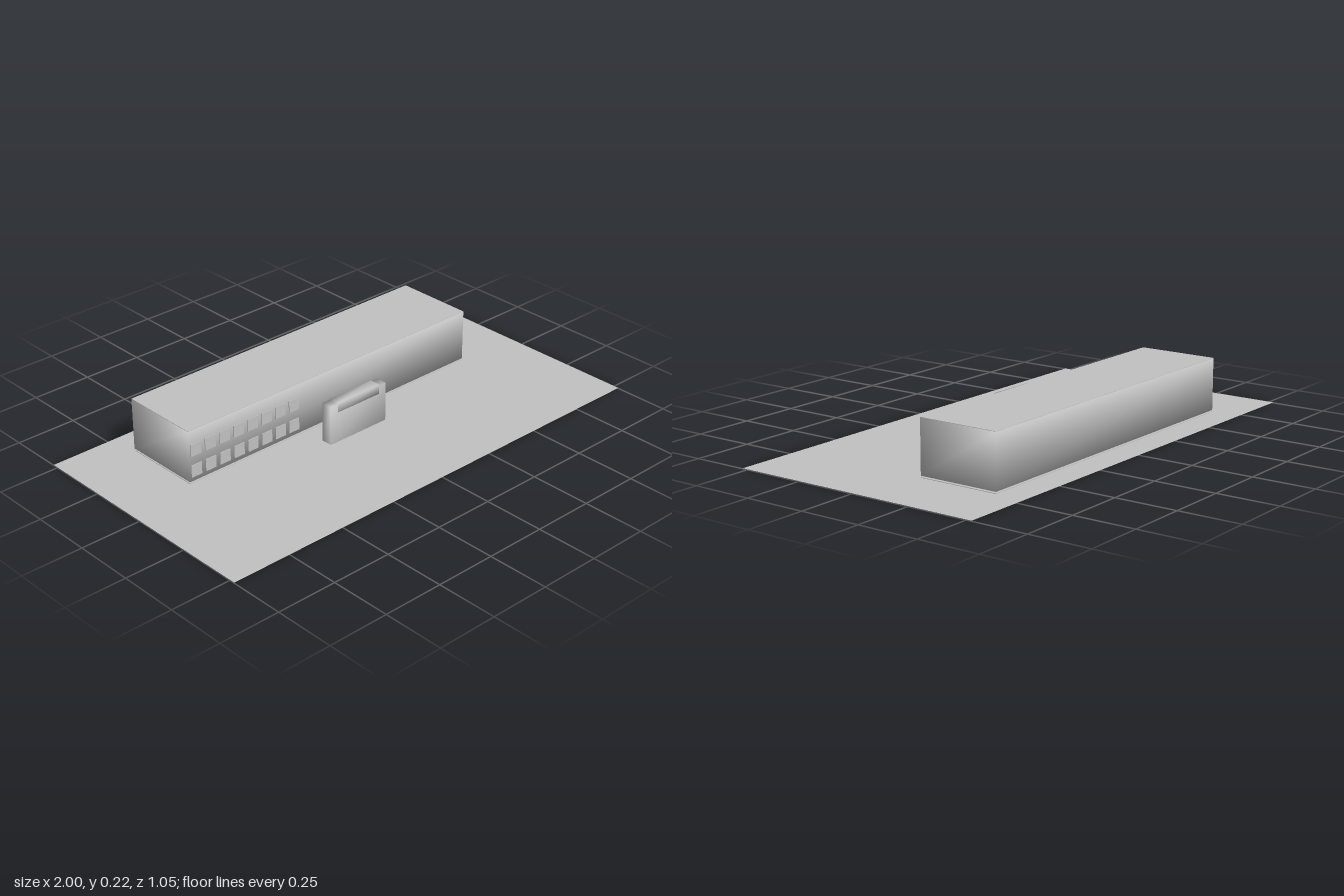
import * as THREE from 'three';
import { mergeVertices } from 'three/addons/utils/BufferGeometryUtils.js';

export function createModel() {
  const model = new THREE.Group();
  const grey = new THREE.MeshStandardMaterial({ color: 0xc0c0c0, side: THREE.DoubleSide });
  grey.name = 'plain grey';

  // Box given by its extents; soft boxes share normals across their edges
  function box(name, [x0, x1], [y0, y1], [z0, z1], soft = false, parent = model) {
    let g = new THREE.BoxGeometry(x1 - x0, y1 - y0, z1 - z0);
    if (soft) {
      g.deleteAttribute('uv');
      g.deleteAttribute('normal');
      g = mergeVertices(g);
      g.computeVertexNormals();
    }
    const mesh = new THREE.Mesh(g, grey);
    mesh.name = name;
    mesh.position.set((x0 + x1) / 2, (y0 + y1) / 2, (z0 + z1) / 2);
    parent.add(mesh);
    return mesh;
  }

  // Flat sheet of ground
  const ground = new THREE.Mesh(new THREE.PlaneGeometry(2, 1.046).rotateX(-Math.PI / 2), grey);
  ground.name = 'ground';
  ground.position.y = 0.002;
  model.add(ground);

  // Long building, raised a little above its footing
  box('footing', [-0.714, 0.714], [0.0025, 0.0045], [-0.404, -0.07]);
  box('buildingWalls', [-0.714, 0.714], [0.01, 0.223], [-0.404, -0.07], true);
  box('roof', [-0.714, 0.714], [0.223, 0.2245], [-0.404, -0.07]);
  box('support', [-0.7, 0.7], [0.0045, 0.01], [-0.214, -0.21]);

  // Two rows of window panes on the right half of the front
  const windows = new THREE.Group();
  windows.name = 'windows';
  model.add(windows);
  for (const y of [0.028, 0.116]) {
    for (let i = 0; i < 8; i++) {
      const x = -0.707 + i * 0.068;
      box('windowPane', [x, x + 0.049], [y, y + 0.05], [-0.071, -0.067], false, windows);
    }
  }

  // Freestanding sign slab with a shallow raised cap
  const sign = new THREE.Group();
  sign.name = 'sign';
  model.add(sign);
  box('signBody', [-0.146, 0.14], [0, 0.165], [0.025, 0.072], true, sign);
  box('signCap', [-0.11, 0.105], [0.13, 0.17], [0.027, 0.0725], true, sign);

  return model;
}
